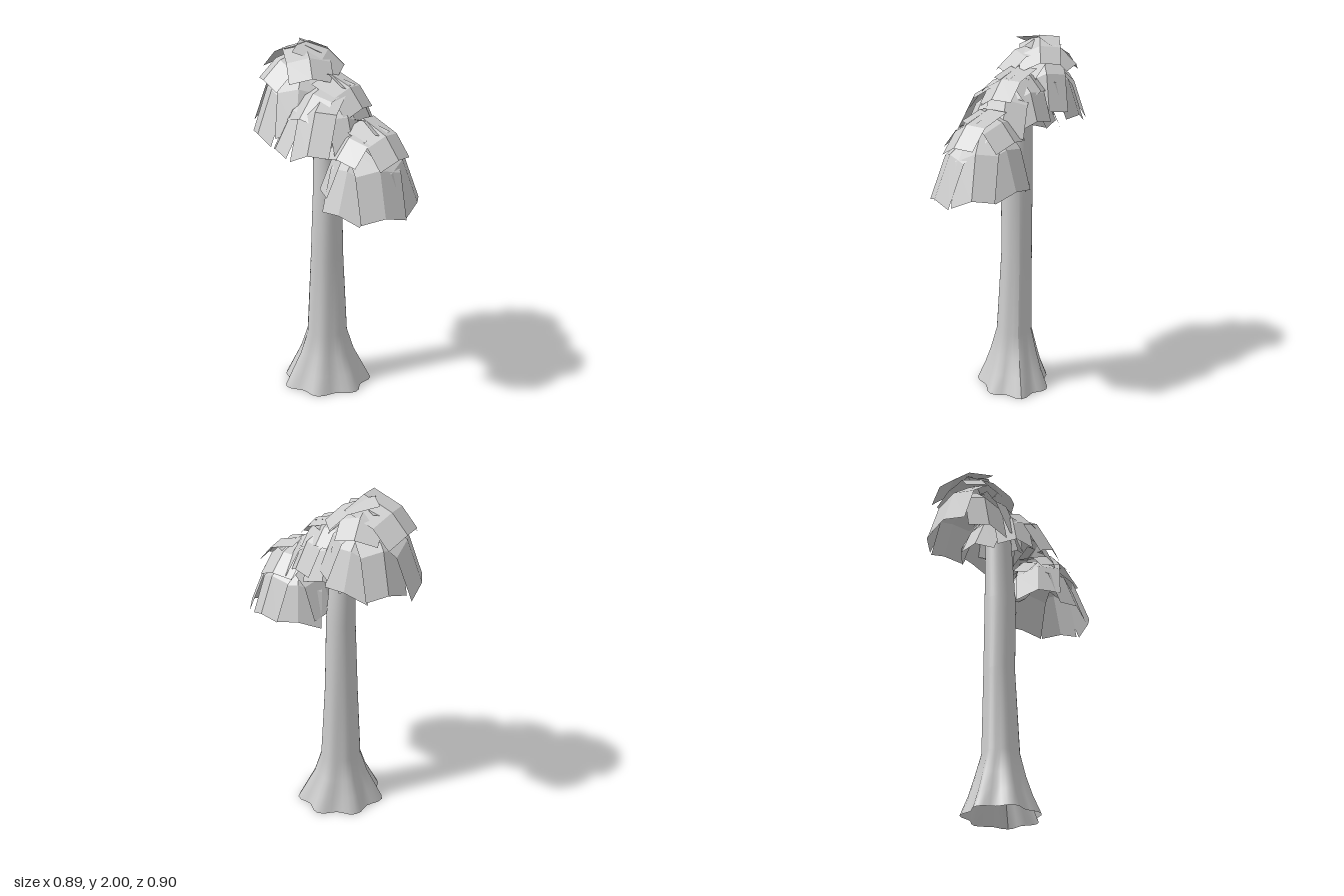
import * as THREE from 'three';

const bark = new THREE.MeshStandardMaterial({ color: 0xcccccc, side: THREE.DoubleSide });
const leaf = new THREE.MeshStandardMaterial({ color: 0xcccccc, side: THREE.DoubleSide, flatShading: true });

// Trunk: open tube of oval rings [y, left x, right x, front z, back z, root lobe strength]
function makeTrunk() {
  const rings = [
    [0, -0.28, 0.205, 0.155, -0.235, 0.09],
    [0.1, -0.235, 0.16, 0.115, -0.2, 0.08],
    [0.2, -0.19, 0.115, 0.085, -0.175, 0.06],
    [0.33, -0.15, 0.08, 0.055, -0.145, 0.03],
    [0.8, -0.125, 0.06, 0.03, -0.143, 0.01],
    [1.24, -0.107, 0.052, 0.033, -0.143, 0],
    [1.78, -0.1, 0.01, 0, -0.14, 0],
  ];
  const sides = 42, pos = [], idx = [];
  rings.forEach(([y, x0, x1, z1, z0, lobe], j) => {
    for (let i = 0; i <= sides; i++) {
      const a = (i / sides) * Math.PI * 2;
      const k = 1 + lobe * Math.cos(a * 7);
      pos.push((x0 + x1) / 2 + ((x1 - x0) / 2) * k * Math.cos(a), y,
        (z0 + z1) / 2 + ((z1 - z0) / 2) * k * Math.sin(a));
      if (j && i < sides) {
        const p = (j - 1) * (sides + 1) + i, q = p + sides + 1;
        idx.push(p, q, p + 1, p + 1, q, q + 1);
      }
    }
  });
  const geo = new THREE.BufferGeometry();
  geo.setAttribute('position', new THREE.Float32BufferAttribute(pos, 3));
  geo.setIndex(idx);
  geo.computeVertexNormals();
  const mesh = new THREE.Mesh(geo, bark);
  mesh.name = 'trunk';
  return mesh;
}

// Branch: thin curved tube reaching from the trunk into a leaf cluster
function makeBranch(points) {
  const curve = new THREE.CatmullRomCurve3(points.map((p) => new THREE.Vector3(...p)));
  const mesh = new THREE.Mesh(new THREE.TubeGeometry(curve, 10, 0.018, 7), bark);
  mesh.name = 'branch';
  return mesh;
}

// Leaf card: square sheet that arches outwards and droops, folded along its middle
function makeCard(angle, { start, reach, top, drop, width, twist }) {
  const geo = new THREE.PlaneGeometry(1, 1, 2, 2);
  const p = geo.attributes.position;
  const c = Math.cos(angle), s = Math.sin(angle);
  for (let i = 0; i < p.count; i++) {
    const side = p.getX(i), t = 0.5 - p.getY(i), middle = t === 0.5;
    const out = THREE.MathUtils.lerp(start, reach, middle ? 0.64 : t) - Math.abs(side) * 0.05;
    const y = top - drop * (middle ? 0.36 : t) - Math.abs(side) * 0.06 + side * twist;
    const w = side * width;
    p.setXYZ(i, out * c - w * s, y, out * s + w * c);
  }
  const mesh = new THREE.Mesh(geo, leaf);
  mesh.name = 'leafCard';
  return mesh;
}

// Cluster: a small crown of cards over a wider drooping skirt, both reaching further to one side
function makeCluster({ name, at, lean, leanAngle, tiers }) {
  const group = new THREE.Group();
  group.name = name;
  group.position.set(...at);
  for (const { count, first, start, reach, top, drop, width } of tiers) {
    for (let i = 0; i < count; i++) {
      const angle = THREE.MathUtils.degToRad(first + (i * 360) / count);
      const pull = 1 + lean * Math.cos(angle - THREE.MathUtils.degToRad(leanAngle));
      group.add(makeCard(angle, {
        start,
        reach: reach * pull,
        top: top - 0.02 * (i % 3),
        drop: drop * pull,
        width: width + 0.02 * (i % 2),
        twist: 0.04 * ((i % 3) - 1),
      }));
    }
  }
  return group;
}

const clusters = [
  { name: 'topLeaves', at: [-0.14, 2, -0.2], lean: 0.1, leanAngle: 150, tiers: [
    { count: 5, first: 10, start: -0.03, reach: 0.23, top: 0, drop: 0.14, width: 0.22 },
    { count: 7, first: 50, start: 0.05, reach: 0.27, top: -0.08, drop: 0.33, width: 0.22 },
  ] },
  { name: 'middleLeaves', at: [0, 1.85, -0.04], lean: 0.2, leanAngle: 130, tiers: [
    { count: 4, first: 45, start: -0.03, reach: 0.21, top: 0, drop: 0.15, width: 0.21 },
    { count: 8, first: 340, start: 0.04, reach: 0.28, top: -0.04, drop: 0.27, width: 0.2 },
  ] },
  { name: 'lowerLeaves', at: [0.17, 1.65, 0.15], lean: 0.12, leanAngle: 60, tiers: [
    { count: 4, first: 50, start: -0.03, reach: 0.21, top: 0, drop: 0.15, width: 0.21 },
    { count: 7, first: 22, start: 0.04, reach: 0.26, top: -0.07, drop: 0.32, width: 0.23 },
  ] },
];

export function createModel() {
  const tree = new THREE.Group();
  tree.name = 'tree';
  tree.add(makeTrunk());
  tree.add(makeBranch([[-0.03, 1.26, -0.03], [0.03, 1.28, 0.05], [0.1, 1.38, 0.1], [0.17, 1.6, 0.15]]));
  tree.add(makeBranch([[-0.04, 1.65, -0.07], [-0.08, 1.8, -0.13], [-0.14, 1.95, -0.2]]));
  clusters.forEach((cluster) => tree.add(makeCluster(cluster)));
  return tree;
}
